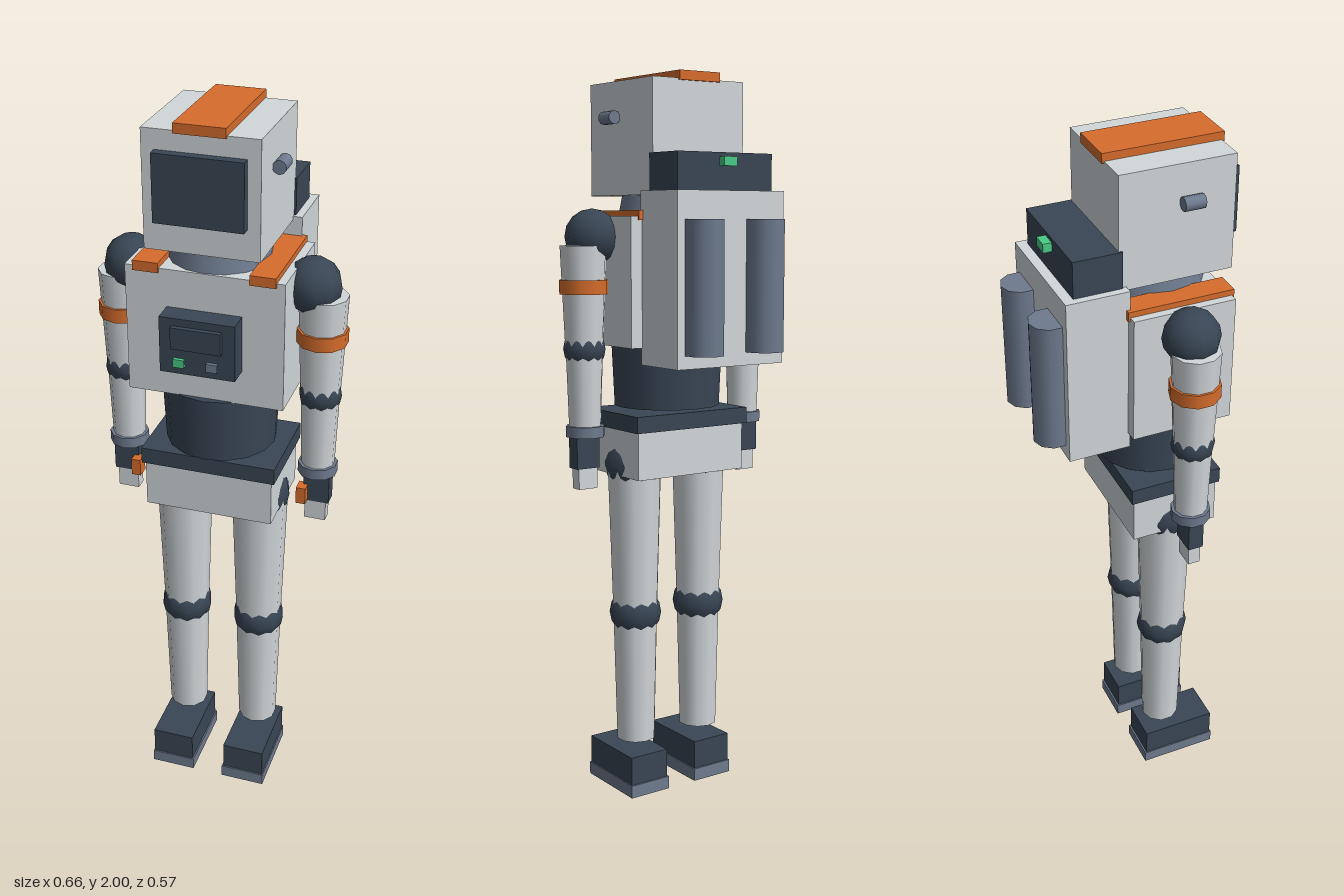
import * as THREE from 'three';

const material = (name, color) => {
  const m = new THREE.MeshStandardMaterial({ color });
  m.name = name;
  return m;
};

export function createModel() {
  const robot = new THREE.Group();
  robot.name = 'robot';

  const shell = material('shell light grey', 0xd2d7da);
  const dark = material('dark slate', 0x394655);
  const steel = material('blue steel', 0x6e7b8f);
  const orange = material('orange trim', 0xd66c2c);
  const green = material('green light', 0x49cc86);

  const AXIS = 0.077; // z of the body axis

  const add = (parent, name, geometry, mat, x, y, z) => {
    const mesh = new THREE.Mesh(geometry, mat);
    mesh.name = name;
    mesh.position.set(x, y, z);
    parent.add(mesh);
    return mesh;
  };
  // Box given by its low and high limits on each axis
  const box = (parent, name, mat, [x0, x1], [y0, y1], [z0, z1]) =>
    add(parent, name, new THREE.BoxGeometry(x1 - x0, y1 - y0, z1 - z0), mat,
      (x0 + x1) / 2, (y0 + y1) / 2, (z0 + z1) / 2);
  // Upright tapered cylinder from y0 to y1
  const tube = (parent, name, mat, x, z, [y0, y1], rTop, rBottom, sides = 10) =>
    add(parent, name, new THREE.CylinderGeometry(rTop, rBottom, y1 - y0, sides), mat,
      x, (y0 + y1) / 2, z);
  const ball = (parent, name, mat, x, y, r) =>
    add(parent, name, new THREE.SphereGeometry(r, 10, 8), mat, x, y, AXIS);
  const group = (name) => {
    const g = new THREE.Group();
    g.name = name;
    robot.add(g);
    return g;
  };

  // Head
  const head = group('head');
  box(head, 'headShell', shell, [-0.147, 0.147], [1.68, 1.98], [-0.075, 0.228]);
  box(head, 'crest', orange, [-0.065, 0.065], [1.975, 2.0], [-0.081, 0.235]);
  box(head, 'visor', dark, [-0.114, 0.114], [1.758, 1.93], [0.22, 0.253]);
  tube(head, 'neck', steel, 0, AXIS, [1.62, 1.685], 0.122, 0.135, 16);

  // Torso
  const torso = group('torso');
  box(torso, 'chest', shell, [-0.206, 0.206], [1.28, 1.625], [-0.06, 0.213]);
  box(torso, 'chestPanel', dark, [-0.098, 0.098], [1.375, 1.525], [0.21, 0.272]);
  box(torso, 'panelScreen', dark, [-0.065, 0.065], [1.447, 1.505], [0.27, 0.285]);
  box(torso, 'greenButton', green, [-0.06, -0.032], [1.396, 1.418], [0.27, 0.282]);
  box(torso, 'steelButton', steel, [0.026, 0.054], [1.396, 1.418], [0.27, 0.282]);
  tube(torso, 'waist', dark, 0, AXIS, [1.105, 1.282], 0.156, 0.148, 16);
  box(torso, 'belt', dark, [-0.184, 0.184], [1.05, 1.095], [-0.052, 0.205]);
  box(torso, 'pelvis', shell, [-0.175, 0.175], [0.92, 1.05], [-0.043, 0.198]);

  // Backpack
  const pack = group('backpack');
  box(pack, 'packBody', shell, [-0.172, 0.172], [1.235, 1.69], [-0.221, -0.055]);
  box(pack, 'packLid', dark, [-0.152, 0.152], [1.685, 1.787], [-0.194, -0.066]);
  box(pack, 'packLight', green, [-0.021, 0.021], [1.752, 1.776], [-0.217, -0.19]);

  for (const s of [-1, 1]) {
    const side = s > 0 ? 'left' : 'right';
    const span = (a, b) => (s > 0 ? [a, b] : [-b, -a]);

    // Ear knob, shoulder strap and tank
    const ear = add(head, side + 'EarKnob', new THREE.CylinderGeometry(0.018, 0.018, 0.054, 10),
      steel, s * 0.163, 1.885, 0.109);
    ear.rotation.x = Math.PI / 2;
    box(torso, side + 'ShoulderStrap', orange, span(0.117, 0.184), [1.614, 1.64], [-0.065, 0.219]);
    tube(pack, side + 'Tank', steel, s * 0.098, -0.237, [1.27, 1.617], 0.0525, 0.0525);

    // Arm
    const arm = group(side + 'Arm');
    const ax = s * 0.268;
    ball(arm, 'shoulderJoint', dark, s * 0.24, 1.571, 0.074);
    tube(arm, 'upperArm', shell, ax, AXIS, [1.27, 1.548], 0.064, 0.052);
    tube(arm, 'armBand', orange, ax, AXIS, [1.42, 1.458], 0.0665, 0.0665);
    ball(arm, 'elbowJoint', dark, ax, 1.273, 0.057);
    tube(arm, 'forearm', shell, ax, AXIS, [1.05, 1.27], 0.051, 0.044);
    tube(arm, 'wristCuff', steel, ax, AXIS, [1.036, 1.066], 0.053, 0.053);
    box(arm, 'hand', dark, span(0.236, 0.306), [0.95, 1.036], [0.057, 0.099]);
    box(arm, 'fingers', shell, span(0.24, 0.298), [0.893, 0.952], [0.062, 0.096]);
    box(arm, 'thumb', orange, span(0.222, 0.248), [0.952, 1.0], [0.088, 0.124]);

    // Leg
    const leg = group(side + 'Leg');
    const lx = s * 0.109;
    ball(leg, 'hipJoint', dark, lx, 0.945, 0.083);
    tube(leg, 'thigh', shell, lx, AXIS, [0.52, 0.945], 0.077, 0.064);
    ball(leg, 'kneeJoint', dark, lx, 0.52, 0.073);
    tube(leg, 'shin', shell, lx, AXIS, [0.15, 0.52], 0.064, 0.055);
    box(leg, 'boot', dark, span(0.049, 0.169), [0.034, 0.117], [0.008, 0.225]);
    box(leg, 'sole', steel, span(0.045, 0.172), [0, 0.036], [0.003, 0.229]);
  }

  return robot;
}
